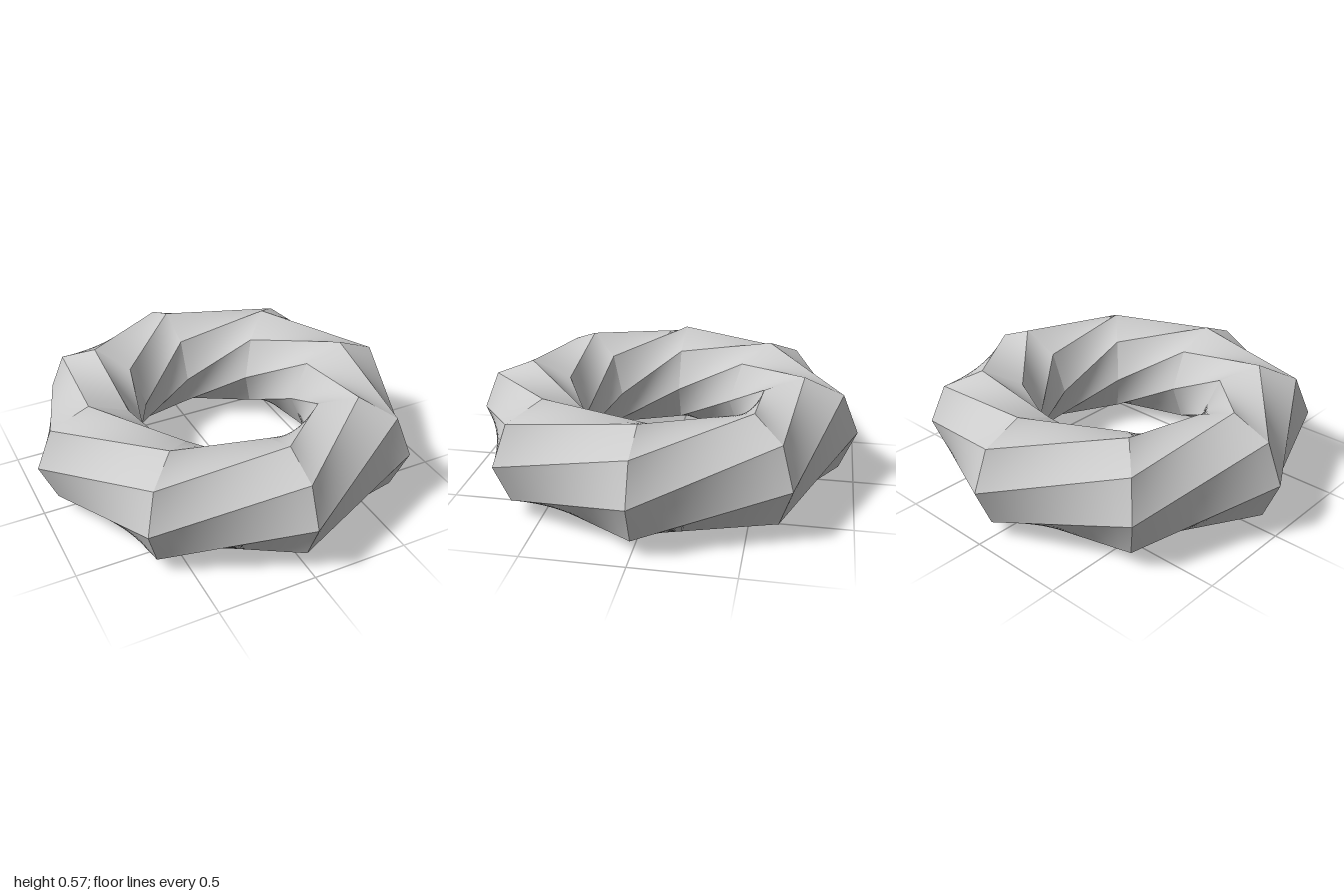
import * as THREE from 'three';
import { mergeGeometries } from 'three/addons/utils/BufferGeometryUtils.js';

const SIDES = 8;        // sides of the cross-section
const SECTIONS = 8;     // sections around the ring
const MAJOR = 0.715;
const MINOR = 0.285;
const STEPS = 10;       // subdivisions of each ruled face

// Corner k of section i; each section is turned one side further than the last
function corner(i, k) {
  const around = (i / SECTIONS) * Math.PI * 2;
  const turn = ((k + i) / SIDES) * Math.PI * 2;
  const radius = MAJOR + MINOR * Math.cos(turn);
  return new THREE.Vector3(
    radius * Math.sin(around),
    MINOR + MINOR * Math.sin(turn),
    radius * Math.cos(around)
  );
}

// Smooth ruled face spanning four corners
function ruledFace(a, b, c, d) {
  const positions = [];
  const indices = [];
  const row = STEPS + 1;
  for (let j = 0; j <= STEPS; j++) {
    const start = a.clone().lerp(d, j / STEPS);
    const end = b.clone().lerp(c, j / STEPS);
    for (let i = 0; i <= STEPS; i++) {
      positions.push(...start.clone().lerp(end, i / STEPS).toArray());
      if (i < STEPS && j < STEPS) {
        const n = j * row + i;
        indices.push(n, n + 1, n + row + 1, n, n + row + 1, n + row);
      }
    }
  }
  const geometry = new THREE.BufferGeometry();
  geometry.setAttribute('position', new THREE.Float32BufferAttribute(positions, 3));
  geometry.setIndex(indices);
  geometry.computeVertexNormals();
  return geometry;
}

export function createModel() {
  const group = new THREE.Group();
  group.name = 'twistedTorus';

  // Twisted ring: separate faces keep the edges between them sharp
  const faces = [];
  for (let i = 0; i < SECTIONS; i++) {
    for (let k = 0; k < SIDES; k++) {
      faces.push(ruledFace(corner(i, k), corner(i + 1, k), corner(i + 1, k + 1), corner(i, k + 1)));
    }
  }
  const ring = new THREE.Mesh(
    mergeGeometries(faces),
    new THREE.MeshStandardMaterial({ color: 0xcccccc })
  );
  ring.name = 'twistedRing';
  group.add(ring);
  return group;
}
